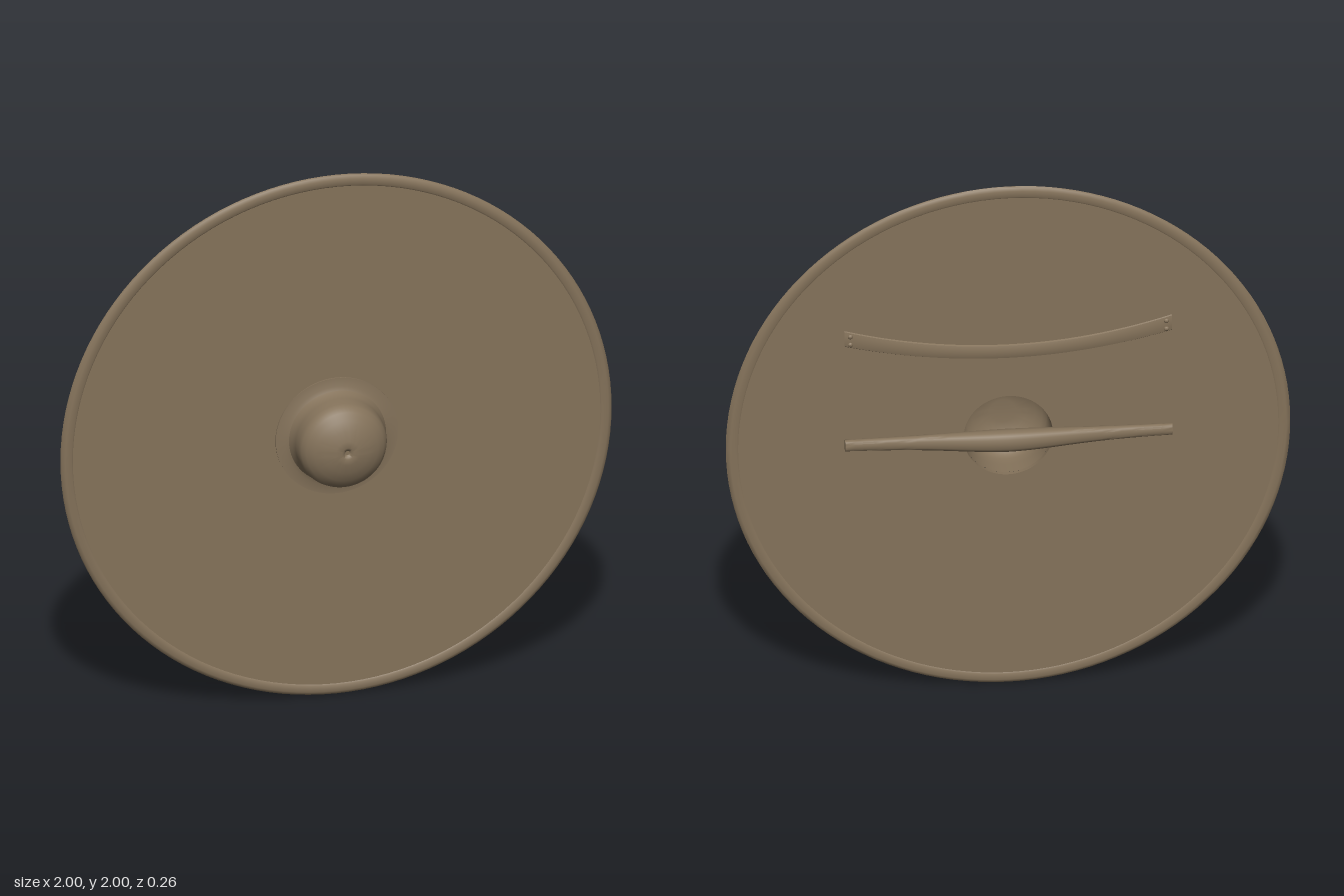
import * as THREE from 'three';
import { toCreasedNormals } from 'three/addons/utils/BufferGeometryUtils.js';

const wood = new THREE.MeshStandardMaterial({ color: 0x84725a });
wood.name = 'weathered brown';

function addMesh(parent, name, geometry, crease = 0.6) {
  const mesh = new THREE.Mesh(toCreasedNormals(geometry, crease), wood);
  mesh.name = name;
  parent.add(mesh);
  return mesh;
}

// Turns a [radius, z] profile around the z axis
function turned(profile, segments = 96) {
  const points = profile.map(([r, z]) => new THREE.Vector2(r, z));
  return new THREE.LatheGeometry(points, segments).rotateX(Math.PI / 2);
}

// Skins closed rings that run along +x, and caps both ends
function loft(count, sides, point) {
  const positions = [];
  const index = [];
  for (let i = 0; i <= count; i++) {
    for (let j = 0; j < sides; j++) {
      positions.push(...point(i / count * 2 - 1, j / sides * Math.PI * 2));
    }
  }
  for (let i = 0; i < count; i++) {
    for (let j = 0; j < sides; j++) {
      const k = (j + 1) % sides;
      const a = i * sides + j, d = i * sides + k;
      index.push(a, d, a + sides, d, d + sides, a + sides);
    }
  }
  const last = count * sides;
  for (let j = 1; j < sides - 1; j++) {
    index.push(0, j + 1, j, last, last + j, last + j + 1);
  }
  const geometry = new THREE.BufferGeometry();
  geometry.setAttribute('position', new THREE.Float32BufferAttribute(positions, 3));
  geometry.setIndex(index);
  geometry.computeVertexNormals();
  return geometry;
}

export function createModel() {
  const shield = new THREE.Group();
  shield.name = 'roundShield';

  // Everything turned shares the shield centre
  const round = new THREE.Group();
  round.name = 'shieldBody';
  round.position.y = 1;
  shield.add(round);

  // Flat board with the hand hole
  addMesh(round, 'board', turned([
    [0.158, -0.058], [0.97, -0.058], [0.97, -0.041], [0.158, -0.041], [0.158, -0.058],
  ]));

  // Rounded edge binding
  addMesh(round, 'rim', turned([
    [0.957, -0.058], [0.962, -0.061], [0.985, -0.061], [0.996, -0.057], [1, -0.05],
    [0.996, -0.042], [0.985, -0.037], [0.962, -0.037], [0.957, -0.041],
  ], 128), 0.9);

  // Hollow boss with a flange and a dimple at its tip
  addMesh(round, 'boss', turned([
    [0.222, -0.041], [0.222, -0.036], [0.19, -0.034], [0.176, -0.028], [0.167, -0.012],
    [0.162, 0.01], [0.16, 0.05], [0.154, 0.068], [0.14, 0.085], [0.115, 0.103],
    [0.08, 0.118], [0.045, 0.127], [0.022, 0.13], [0.014, 0.126], [0.008, 0.119], [0, 0.117],
  ], 64));
  addMesh(round, 'bossInside', turned([
    [0, 0.11], [0.045, 0.119], [0.08, 0.11], [0.112, 0.096], [0.135, 0.079],
    [0.148, 0.062], [0.153, 0.045], [0.155, 0.01], [0.158, -0.041],
  ], 64));

  // Grip, swelling towards the middle, flat against the board
  addMesh(shield, 'grip', loft(32, 16, (t, angle) => {
    const swell = Math.exp(-Math.pow(t / 0.46, 2));
    const taper = 1 - Math.abs(t);
    const halfHeight = 0.021 + 0.013 * swell + 0.006 * taper;
    const depth = 0.028 + 0.032 * swell + 0.012 * taper;
    const c = Math.cos(angle), s = Math.sin(angle);
    const y = Math.sign(c) * Math.pow(Math.abs(c), 0.8) * halfHeight;
    const z = Math.sign(s) * Math.pow(Math.abs(s), 0.8) * depth / 2;
    return [t * 0.58, 1 + y, -0.058 - depth / 2 + z];
  }));

  // Sagging arm strap with a shallow arched back
  const strapY = (t) => 1.34 + 0.083 * t * t;
  addMesh(shield, 'armStrap', loft(28, 12, (t, angle) => {
    const halfHeight = 0.028 + 0.005 * t * t;
    const depth = 0.012 - 0.004 * t * t;
    const c = Math.cos(angle), s = Math.sin(angle);
    return [t * 0.58, strapY(t) + c * halfHeight,
      -0.056 + (s < 0 ? -depth * Math.pow(-s, 0.6) : 0)];
  }));

  // Two rivets at each strap end
  for (const side of [-1, 1]) {
    for (const offset of [-0.016, 0.016]) {
      const rivet = addMesh(shield, 'strapRivet',
        new THREE.SphereGeometry(0.009, 12, 8));
      rivet.scale.z = 0.6;
      rivet.position.set(side * 0.56, strapY(0.965) + offset, -0.065);
    }
  }

  return shield;
}
